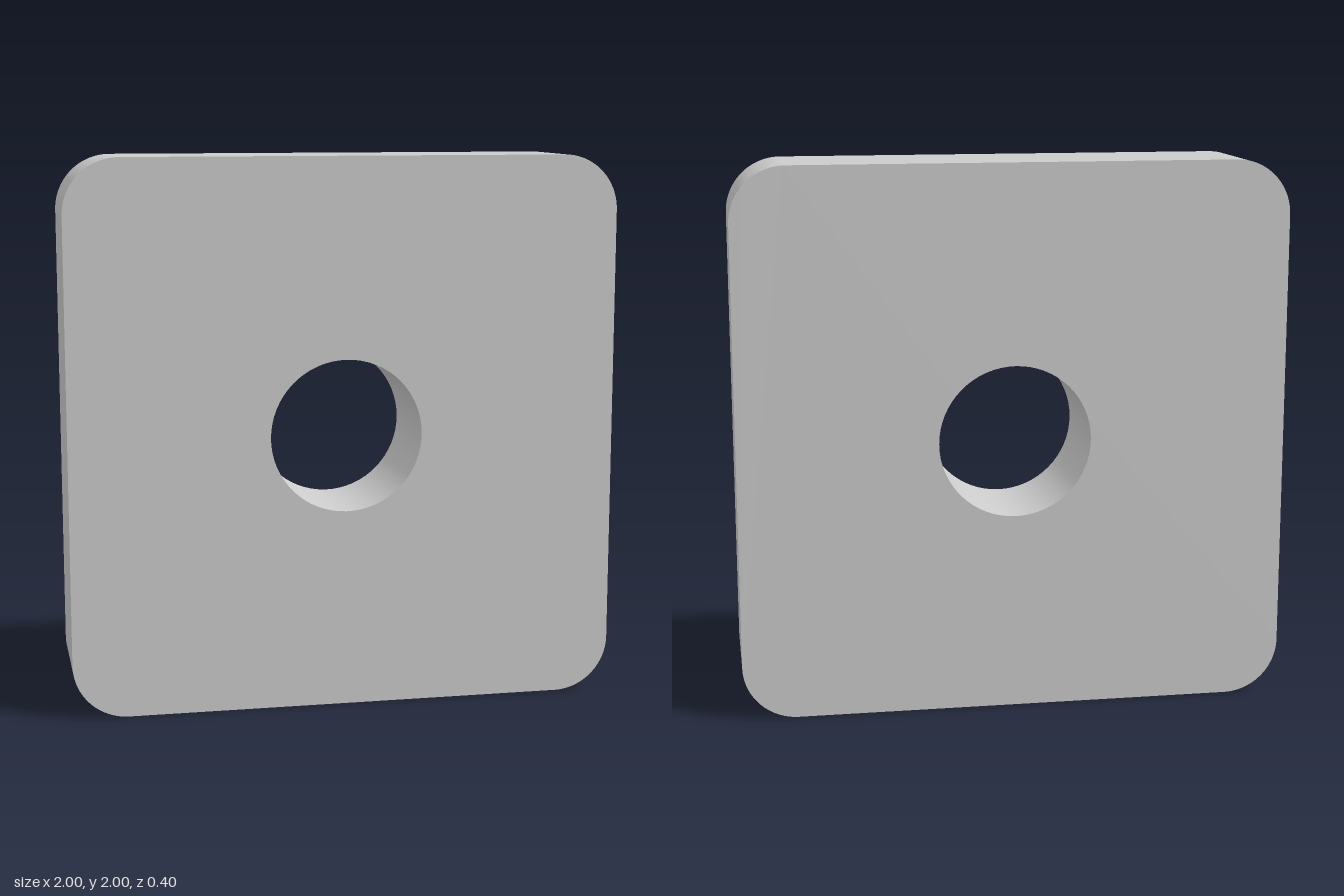
import * as THREE from 'three';
import { toCreasedNormals } from 'three/addons/utils/BufferGeometryUtils.js';

const HALF = 1, CORNER = 0.2, HOLE = 0.277, DEPTH = 0.4;

// Square outline with rounded corners, centred on the origin
function roundedSquare(half, radius) {
  const shape = new THREE.Shape();
  const c = half - radius;
  [[c, c], [-c, c], [-c, -c], [c, -c]].forEach(([x, y], i) => {
    const start = i * Math.PI / 2;
    shape.absarc(x, y, radius, start, start + Math.PI / 2, false);
  });
  shape.closePath();
  return shape;
}

export function createModel() {
  const group = new THREE.Group();
  group.name = 'squareWasher';

  // Plate with a round through hole
  const outline = roundedSquare(HALF, CORNER);
  outline.holes.push(new THREE.Path().absarc(0, 0, HOLE, 0, Math.PI * 2, true));
  const geometry = new THREE.ExtrudeGeometry(outline, {
    depth: DEPTH, bevelEnabled: false, curveSegments: 32,
  });
  geometry.translate(0, HALF, -DEPTH / 2);

  const plate = new THREE.Mesh(
    toCreasedNormals(geometry, Math.PI / 6),
    new THREE.MeshStandardMaterial({ color: 0xcccccc })
  );
  plate.name = 'plate';
  group.add(plate);
  return group;
}
